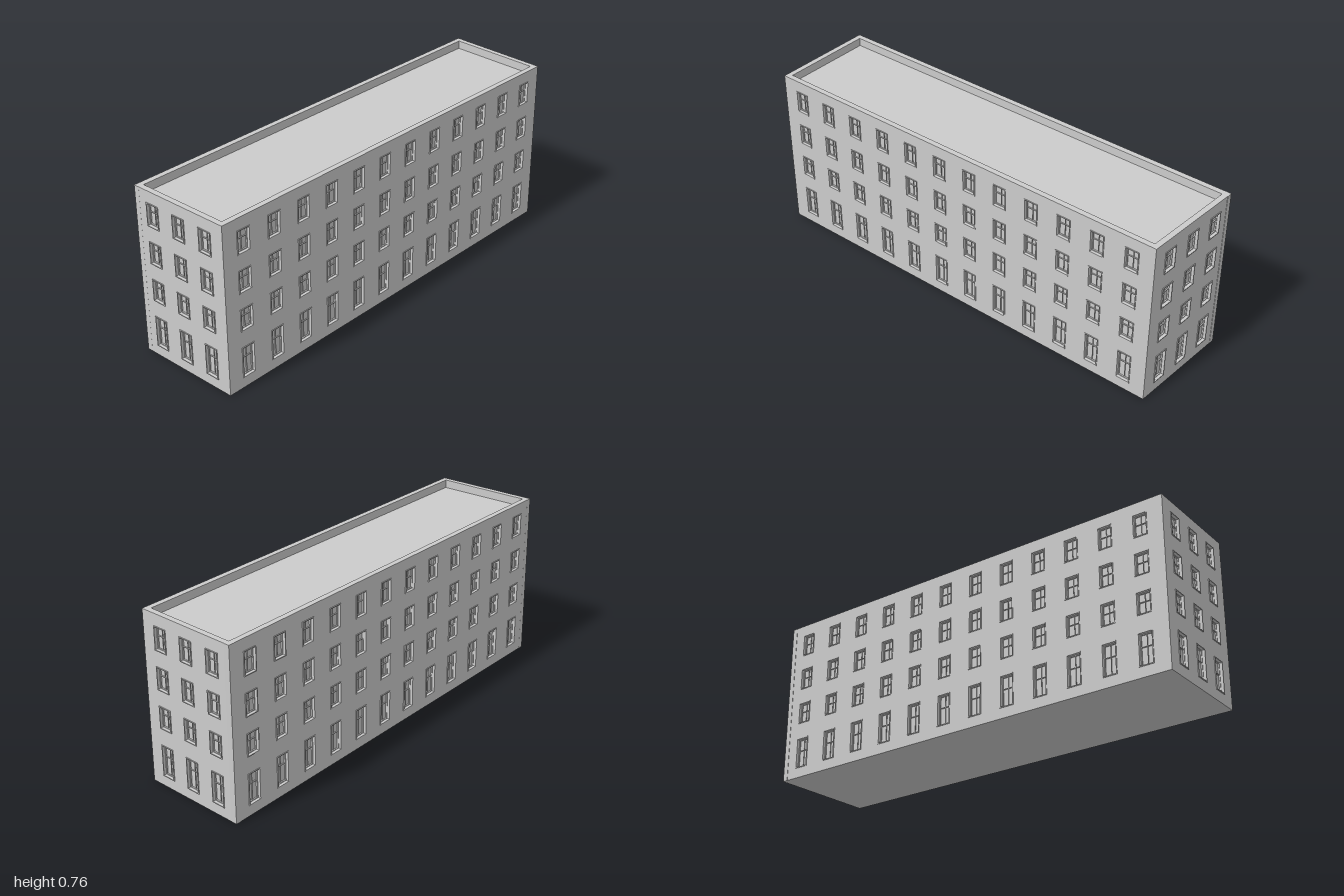
import * as THREE from 'three';

const HEIGHT = 0.757, ROOF = 0.72, THICK = 0.025, RECESS = 0.016;
const WIN_W = 0.058;
// window rows: sill, head, transom height
const ROWS = [[0.05, 0.183, 0.13], [0.265, 0.357, 0.319], [0.435, 0.528, 0.49], [0.605, 0.701, 0.661]];
// footprint corners as [x, z]: front left, front right, back right, back left (seen from the front)
const CORNERS = [[-0.17, 1], [0.308, 0.962], [0.17, -1], [-0.31, -0.993]].map(([x, z]) => new THREE.Vector2(x, z));

function rectPath(path, x0, y0, x1, y1) {
  path.moveTo(x0, y0);
  path.lineTo(x1, y0);
  path.lineTo(x1, y1);
  path.lineTo(x0, y1);
  path.closePath();
  return path;
}

function extrude(shape, depth) {
  return new THREE.ExtrudeGeometry(shape, { depth, bevelEnabled: false });
}

// rectangular ring, grown outward by "out" and inward by "inn" from the opening
function ring(w, y0, y1, out, inn, depth) {
  const s = rectPath(new THREE.Shape(), -w / 2 - out, y0 - out, w / 2 + out, y1 + out);
  s.holes.push(rectPath(new THREE.Path(), -w / 2 + inn, y0 + inn, w / 2 - inn, y1 - inn));
  return extrude(s, depth);
}

export function createModel() {
  const building = new THREE.Group();
  building.name = 'building';
  const stone = new THREE.MeshStandardMaterial({ color: 0xcccccc });
  stone.name = 'pale grey';

  const add = (parent, name, geometry, x = 0, y = 0, z = 0) => {
    const m = new THREE.Mesh(geometry, stone);
    m.name = name;
    m.position.set(x, y, z);
    parent.add(m);
    return m;
  };

  // solid core: its sides are the window panes, its top the flat roof
  const inner = CORNERS.map((c, i) => {
    const p = c.clone();
    for (const k of [1, 3]) {
      p.add(CORNERS[(i + k) % 4].clone().sub(c).normalize().multiplyScalar(RECESS));
    }
    return new THREE.Vector2(p.x, -p.y);
  });
  add(building, 'roofAndCore', extrude(new THREE.Shape(inner), ROOF).rotateX(-Math.PI / 2));

  // shared window parts for each row
  const parts = ROWS.map(([y0, y1, mid]) => ({
    mid, y0, y1,
    trim: ring(WIN_W, y0, y1, 0.004, 0, 0.003),
    sash: ring(WIN_W, y0, y1, 0, 0.003, 0.006),
    mullion: new THREE.BoxGeometry(0.002, y1 - y0, 0.004),
    transom: new THREE.BoxGeometry(WIN_W, 0.003, 0.005),
  }));

  // outer walls rise past the roof as a parapet
  function wall(name, a, b, fractions) {
    const side = new THREE.Group();
    side.name = name;
    const dir = b.clone().sub(a), length = dir.length();
    side.position.set(a.x, 0, a.y);
    side.rotation.y = Math.atan2(-dir.y, dir.x);

    const face = rectPath(new THREE.Shape(), 0, 0, length, HEIGHT);
    for (const f of fractions) {
      const cx = f * length;
      for (const p of parts) {
        face.holes.push(rectPath(new THREE.Path(), cx - WIN_W / 2, p.y0, cx + WIN_W / 2, p.y1));
        const win = new THREE.Group();
        win.name = 'window';
        win.position.x = cx;
        add(win, 'windowTrim', p.trim);
        add(win, 'windowSash', p.sash, 0, 0, -RECESS);
        add(win, 'windowMullion', p.mullion, 0, (p.y0 + p.y1) / 2, -RECESS + 0.002);
        add(win, 'windowTransom', p.transom, 0, p.mid, -RECESS + 0.0025);
        side.add(win);
      }
    }
    add(side, name + 'Panel', extrude(face, THICK), 0, 0, -THICK);
    building.add(side);
  }

  const short = [0.2, 0.5, 0.8];
  const long = Array.from({ length: 12 }, (_, i) => 0.053 + i * 0.0813);
  const [fl, fr, br, bl] = CORNERS;
  wall('frontWall', fl, fr, short);
  wall('leftWall', fr, br, long);
  wall('backWall', br, bl, short);
  wall('rightWall', bl, fl, long);
  return building;
}
